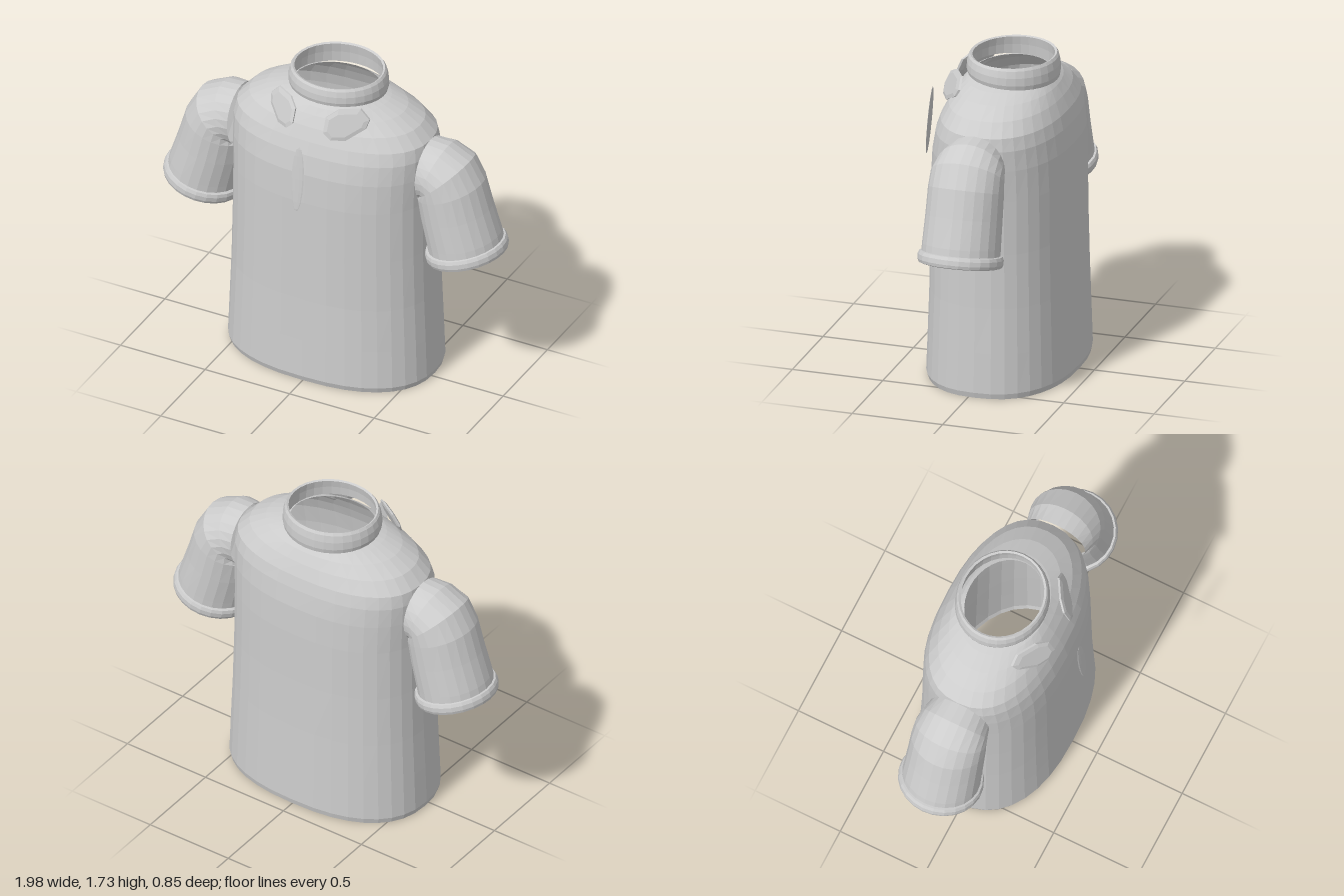
import * as THREE from 'three';

const fabric = new THREE.MeshStandardMaterial({ color: 0xcccccc, flatShading: true, side: THREE.DoubleSide });

function named(name, geometry) {
  const mesh = new THREE.Mesh(geometry, fabric);
  mesh.name = name;
  return mesh;
}

// Skin a list of rings; point(ring, angle) gives [x, y, z]
function loft(rings, segments, point) {
  const positions = [], index = [], row = segments + 1;
  rings.forEach((ring) => {
    for (let j = 0; j <= segments; j++) positions.push(...point(ring, (j / segments) * Math.PI * 2));
  });
  for (let i = 0; i < rings.length - 1; i++) {
    for (let j = 0; j < segments; j++) {
      const a = i * row + j, b = a + 1, c = a + row, d = c + 1;
      index.push(a, c, b, b, c, d);
    }
  }
  const geometry = new THREE.BufferGeometry();
  geometry.setAttribute('position', new THREE.Float32BufferAttribute(positions, 3));
  geometry.setIndex(index);
  geometry.computeVertexNormals();
  return geometry;
}

const power = (v, e) => Math.sign(v) * Math.abs(v) ** e;

// Torso sections: height, half width, front z, back z, squareness
function makeTorso() {
  const rings = [
    [0, 0.58, 0.352, -0.418, 2.4], [0.03, 0.588, 0.362, -0.425, 2.4], [0.25, 0.58, 0.354, -0.418, 2.4],
    [0.5, 0.57, 0.346, -0.41, 2.4], [0.8, 0.563, 0.342, -0.403, 2.4], [1.1, 0.56, 0.338, -0.4, 2.4],
    [1.27, 0.565, 0.328, -0.393, 2.4], [1.38, 0.567, 0.307, -0.378, 2.4], [1.45, 0.555, 0.282, -0.36, 2.35],
    [1.52, 0.49, 0.25, -0.328, 2.25], [1.575, 0.395, 0.215, -0.295, 2.1], [1.61, 0.3, 0.185, -0.265, 2],
    [1.625, 0.245, 0.16, -0.245, 2],
  ];
  return named('torso', loft(rings, 36, ([y, w, front, back, n], t) => [
    w * power(Math.cos(t), 2 / n),
    y,
    (front + back) / 2 + ((front - back) / 2) * power(Math.sin(t), 2 / n),
  ]));
}

// Standing collar band, slightly lower at the back
function makeCollar() {
  const rings = [
    [1.625, 0.25, 0.225], [1.622, 0.264, 0.24], [1.645, 0.27, 0.245], [1.685, 0.268, 0.243],
    [1.72, 0.258, 0.235], [1.733, 0.248, 0.226], [1.728, 0.238, 0.214], [1.68, 0.246, 0.222], [1.625, 0.25, 0.225],
  ];
  return named('collar', loft(rings, 32, ([y, rx, rz], t) => {
    const z = -0.055 + rz * Math.sin(t);
    return [rx * Math.cos(t), y + (z + 0.055) * 0.06 * ((1.735 - y) / 0.11), z];
  }));
}

// Ring given by its outer and inner points and its half depth
function armPoint(side) {
  return ([ox, oy, ix, iy, rz], t) => {
    const c = (1 + Math.cos(t)) / 2;
    return [side * (ix + (ox - ix) * c), iy + (oy - iy) * c, -0.023 + side * rz * Math.sin(t)];
  };
}

function makeSleeve(side) {
  const group = new THREE.Group();
  group.name = side > 0 ? 'leftSleeve' : 'rightSleeve';
  const sleeve = [
    [0.972, 0.9, 0.58, 0.8, 0.21], [0.955, 0.97, 0.565, 0.87, 0.208], [0.905, 1.12, 0.53, 1.02, 0.204],
    [0.86, 1.27, 0.51, 1.14, 0.202], [0.79, 1.39, 0.53, 1.15, 0.198], [0.665, 1.453, 0.55, 1.13, 0.187],
    [0.56, 1.46, 0.55, 1.11, 0.172],
  ];
  group.add(named('sleeve', loft(sleeve, 24, armPoint(side))));

  // Rolled hem: distance along the arm axis and radius
  const hem = [
    [0.035, 0.198], [0, 0.205], [0.004, 0.216], [0.02, 0.222], [0.045, 0.222], [0.062, 0.215], [0.066, 0.2],
  ].map(([d, r]) => {
    const x = 0.782 - 0.25 * d, y = 0.82 + 0.97 * d;
    return [x + 0.97 * r, y + 0.25 * r, x - 0.97 * r, y - 0.25 * r, r + 0.005];
  });
  group.add(named('sleeveHem', loft(hem, 24, armPoint(side))));
  return group;
}

// Eight-sided collar tab leaning against the neckline
function makeTab(side) {
  const outline = [
    [0.24, 1.655], [0.14, 1.655], [0.09, 1.62], [0.09, 1.545],
    [0.13, 1.505], [0.2, 1.5], [0.28, 1.555], [0.29, 1.6],
  ].map(([x, y]) => new THREE.Vector2(side * x, y));
  const geometry = new THREE.ExtrudeGeometry(new THREE.Shape(outline), {
    depth: 0.012, bevelThickness: 0.008, bevelSize: 0.02, bevelOffset: -0.02, bevelSegments: 1,
  });
  const p = geometry.attributes.position;
  for (let i = 0; i < p.count; i++) {
    const lean = 0.6 * (side * p.getX(i) - 0.19) + 0.45 * (p.getY(i) - 1.58);
    p.setZ(i, p.getZ(i) + 0.21 - lean);
  }
  geometry.computeVertexNormals();
  return named(side > 0 ? 'leftCollarTab' : 'rightCollarTab', geometry);
}

// Slim placket standing off the chest
function makePlacket() {
  const placket = named('placket', new THREE.SphereGeometry(1, 10, 8));
  placket.scale.set(0.036, 0.192, 0.005);
  placket.rotation.x = -0.09;
  placket.position.set(0, 1.292, 0.41);
  return placket;
}

export function createModel() {
  const model = new THREE.Group();
  model.name = 'shirt';
  model.add(makeTorso(), makeCollar(), makePlacket());
  for (const side of [1, -1]) model.add(makeSleeve(side), makeTab(side));
  return model;
}
